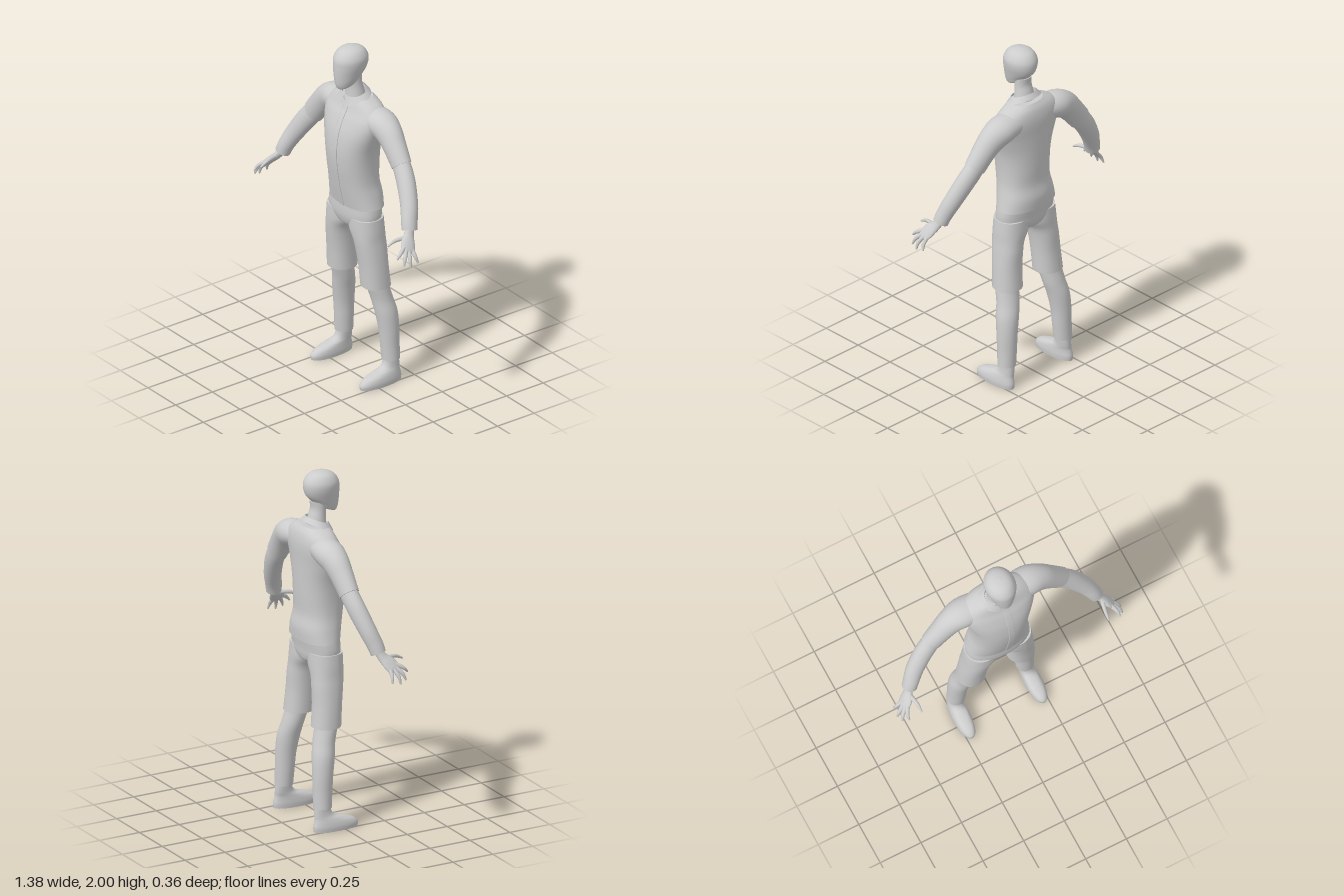
import * as THREE from 'three';
import { ParametricGeometry } from 'three/addons/geometries/ParametricGeometry.js';

const clay = new THREE.MeshStandardMaterial({ color: 0xcccccc, side: THREE.DoubleSide });
clay.name = 'plain grey';

// Catmull-Rom interpolation of numeric rows, column by column
function refine(rows, steps) {
  const out = [];
  for (let i = 0; i < rows.length - 1; i++) {
    const [p, q, r, s] = [rows[Math.max(i - 1, 0)], rows[i], rows[i + 1], rows[Math.min(i + 2, rows.length - 1)]];
    for (let k = 0; k < steps; k++) {
      const t = k / steps;
      out.push(q.map((b, c) => 0.5 * (2 * b + (r[c] - p[c]) * t
        + (2 * p[c] - 5 * b + 4 * r[c] - s[c]) * t * t + (3 * b - p[c] - 3 * r[c] + s[c]) * t * t * t)));
    }
  }
  out.push(rows[rows.length - 1]);
  return out;
}

// Smooth skin over oval sections [x, y, z, radiusA, radiusB, tilt].
// Level sections lie flat and rise in y; "along" sections stand across their path.
function loft(rows, { along = false, pow = 2, n = 32, steps = 5, side = 1 } = {}) {
  const full = refine(rows.map(([x, y, z, a, b, tilt = 0]) => [x * side, y, z, a, b, tilt]), steps);
  const pos = [], idx = [];
  const centre = full.map(r => new THREE.Vector3(r[0], r[1], r[2]));
  const curve = v => Math.sign(v) * Math.abs(v) ** (2 / pow);
  const rings = full.map(([, , , a, b, tilt], i) => {
    let u = new THREE.Vector3(1, 0, 0), v = new THREE.Vector3(0, tilt, 1);
    if (along) {
      const t = centre[Math.min(i + 1, full.length - 1)].clone().sub(centre[Math.max(i - 1, 0)]).normalize();
      u = new THREE.Vector3(0, 0, 1).addScaledVector(t, -t.z).normalize();
      v = u.clone().cross(t);
    }
    return Array.from({ length: n }, (_, j) => {
      const ang = j / n * Math.PI * 2;
      return centre[i].clone().addScaledVector(u, curve(Math.cos(ang)) * Math.max(a, 0.001))
        .addScaledVector(v, curve(Math.sin(ang)) * Math.max(b, 0.001));
    });
  });
  rings.forEach((ring, i) => ring.forEach((p, j) => {
    pos.push(p.x, p.y, p.z);
    if (i === rings.length - 1) return;
    const a = i * n + j, b = i * n + (j + 1) % n;
    idx.push(a, a + n, b, b, a + n, b + n);
  }));
  // End caps with their own corners, so the rims stay sharp
  for (const end of [0, rings.length - 1]) {
    const base = pos.length / 3;
    [...rings[end], centre[end]].forEach(p => pos.push(p.x, p.y, p.z));
    for (let j = 0; j < n; j++) {
      const a = base + j, b = base + (j + 1) % n;
      idx.push(base + n, ...(end === 0 ? [a, b] : [b, a]));
    }
  }
  const g = new THREE.BufferGeometry();
  g.setAttribute('position', new THREE.Float32BufferAttribute(pos, 3));
  g.setIndex(idx);
  g.computeVertexNormals();
  return g;
}

export function createModel() {
  const model = new THREE.Group();
  model.name = 'figure';
  const add = (name, geometry) => {
    const m = new THREE.Mesh(geometry, clay);
    m.name = name;
    model.add(m);
  };

  // Head and neck
  add('head', loft([
    [0, 1.792, 0.01, 0.02, 0.03, -0.4], [0, 1.785, 0.013, 0.045, 0.062, -0.42],
    [0, 1.81, 0.012, 0.058, 0.08, -0.33], [0, 1.85, 0.003, 0.071, 0.096, -0.14],
    [0, 1.9, -0.003, 0.084, 0.103, 0], [0, 1.94, -0.005, 0.085, 0.1, 0],
    [0, 1.975, -0.006, 0.067, 0.078, 0], [0, 1.993, -0.006, 0.04, 0.045, 0],
    [0, 2, -0.006, 0.004, 0.005, 0]], { n: 40, steps: 6 }));
  add('neck', loft([
    [0, 1.66, -0.035, 0.068, 0.06, -0.3], [0, 1.73, -0.03, 0.056, 0.048, -0.3],
    [0, 1.78, -0.024, 0.05, 0.042, -0.2], [0, 1.83, -0.02, 0.05, 0.05, 0]]));

  // Shirt body, with a button strip following its front
  const torso = [
    [0, 1.05, -0.045, 0.188, 0.11], [0, 1.12, -0.039, 0.172, 0.119],
    [0, 1.2, -0.025, 0.157, 0.12], [0, 1.3, -0.019, 0.156, 0.129],
    [0, 1.4, -0.018, 0.168, 0.132], [0, 1.5, -0.026, 0.198, 0.126],
    [0, 1.58, -0.042, 0.222, 0.113], [0, 1.63, -0.053, 0.212, 0.098],
    [0, 1.67, -0.055, 0.165, 0.085], [0, 1.7, -0.05, 0.1, 0.07]];
  add('shirtBody', loft(torso, { pow: 2.25, n: 48, steps: 6 }));
  add('buttonStrip', loft(torso.slice(0, 9).map(([, y, z, , rz]) => [0.012, y, z + rz - 0.001, 0.004, 0.018]),
    { along: true, pow: 8, n: 16 }));

  // Folded collar, open at the front with two pointed tips
  add('collar', new ParametricGeometry((u, v, p) => {
    const gap = 0.08 + 0.22 * v, ang = gap + u * (Math.PI * 2 - 2 * gap);
    const fold = Math.max(0, (v - 0.35) / 0.65), stand = Math.max(0, (0.35 - v) / 0.35);
    const tip = Math.max(0, Math.cos(ang)) ** 6 * fold;
    const z = -0.03 + Math.cos(ang) * (0.06 + 0.022 * fold);
    p.set(Math.sin(ang) * (0.074 + 0.032 * fold), 1.728 - 0.34 * (z + 0.03) - 0.035 * fold - 0.05 * stand - 0.014 * tip, z);
  }, 64, 10));

  // Shorts: hips
  add('shortsHips', loft([
    [0, 0.905, -0.04, 0.03, 0.05], [0, 0.925, -0.038, 0.1, 0.082], [0, 0.96, -0.036, 0.175, 0.095],
    [0, 1, -0.035, 0.188, 0.1], [0, 1.06, -0.04, 0.182, 0.104]], { pow: 2.3, n: 40 }));

  for (const side of [1, -1]) {
    const tag = side > 0 ? 'left' : 'right';
    const across = { along: true, side };

    // Shorts leg, trouser leg and shoe
    add(tag + 'ShortsLeg', loft([
      [0.151, 0.578, -0.06, 0.081, 0.081], [0.144, 0.7, -0.05, 0.079, 0.081],
      [0.134, 0.8, -0.043, 0.079, 0.087], [0.123, 0.86, -0.038, 0.083, 0.09],
      [0.103, 0.92, -0.036, 0.099, 0.093], [0.096, 0.99, -0.035, 0.098, 0.092]], { side, pow: 2.2 }));
    add(tag + 'TrouserLeg', loft([
      [0.212, 0.135, -0.117, 0.052, 0.051], [0.207, 0.22, -0.114, 0.054, 0.054],
      [0.203, 0.32, -0.11, 0.058, 0.058], [0.191, 0.42, -0.1, 0.064, 0.063],
      [0.172, 0.5, -0.085, 0.066, 0.061], [0.16, 0.58, -0.065, 0.068, 0.062],
      [0.152, 0.65, -0.055, 0.066, 0.066]], { side }));
    add(tag + 'Shoe', loft([
      [0.221, 0, -0.04, 0.047, 0.134], [0.221, 0.025, -0.04, 0.049, 0.136],
      [0.22, 0.05, -0.05, 0.046, 0.121], [0.218, 0.07, -0.075, 0.041, 0.092],
      [0.215, 0.09, -0.107, 0.036, 0.06], [0.212, 0.125, -0.118, 0.035, 0.048],
      [0.21, 0.18, -0.117, 0.036, 0.046]], { side, pow: 2.2 }));

    // Short sleeve over a long sleeve
    add(tag + 'UpperSleeve', loft([
      [0.1, 1.6, -0.06, 0.08, 0.065], [0.2, 1.588, -0.065, 0.086, 0.077],
      [0.27, 1.555, -0.063, 0.073, 0.077], [0.33, 1.495, -0.058, 0.062, 0.07],
      [0.395, 1.415, -0.053, 0.053, 0.066]], across));
    add(tag + 'LowerSleeve', loft([
      [0.36, 1.46, -0.055, 0.045, 0.055], [0.395, 1.415, -0.053, 0.048, 0.059],
      [0.455, 1.34, -0.038, 0.05, 0.058], [0.52, 1.238, -0.01, 0.048, 0.052],
      [0.555, 1.165, 0.015, 0.046, 0.045], [0.572, 1.117, 0.027, 0.043, 0.043]], across));

    // Hand: palm, spread fingers and thumb
    add(tag + 'Palm', loft([
      [0.566, 1.14, 0.022, 0.025, 0.021], [0.59, 1.095, 0.045, 0.03, 0.02],
      [0.615, 1.065, 0.07, 0.042, 0.018], [0.638, 1.038, 0.085, 0.04, 0.014],
      [0.648, 1.025, 0.09, 0.03, 0.009]], { ...across, n: 20 }));
    const fingers = {
      Thumb: [[0.592, 1.09, 0.06], [0.578, 1.085, 0.128], [0.574, 1.062, 0.177]],
      IndexFinger: [[0.622, 1.057, 0.1], [0.644, 1.035, 0.142], [0.646, 1.008, 0.168]],
      MiddleFinger: [[0.632, 1.045, 0.095], [0.664, 1.01, 0.126], [0.675, 0.972, 0.142]],
      RingFinger: [[0.635, 1.042, 0.08], [0.672, 1, 0.098], [0.685, 0.958, 0.102]],
      LittleFinger: [[0.632, 1.043, 0.062], [0.668, 1.005, 0.06], [0.682, 0.968, 0.052]],
    };
    for (const [name, path] of Object.entries(fingers)) {
      const rows = path.map((p, i) => [...p, [0.013, 0.0105, 0.005][i], [0.013, 0.0105, 0.005][i]]);
      add(tag + name, loft(rows, { ...across, n: 12 }));
    }
  }
  return model;
}
